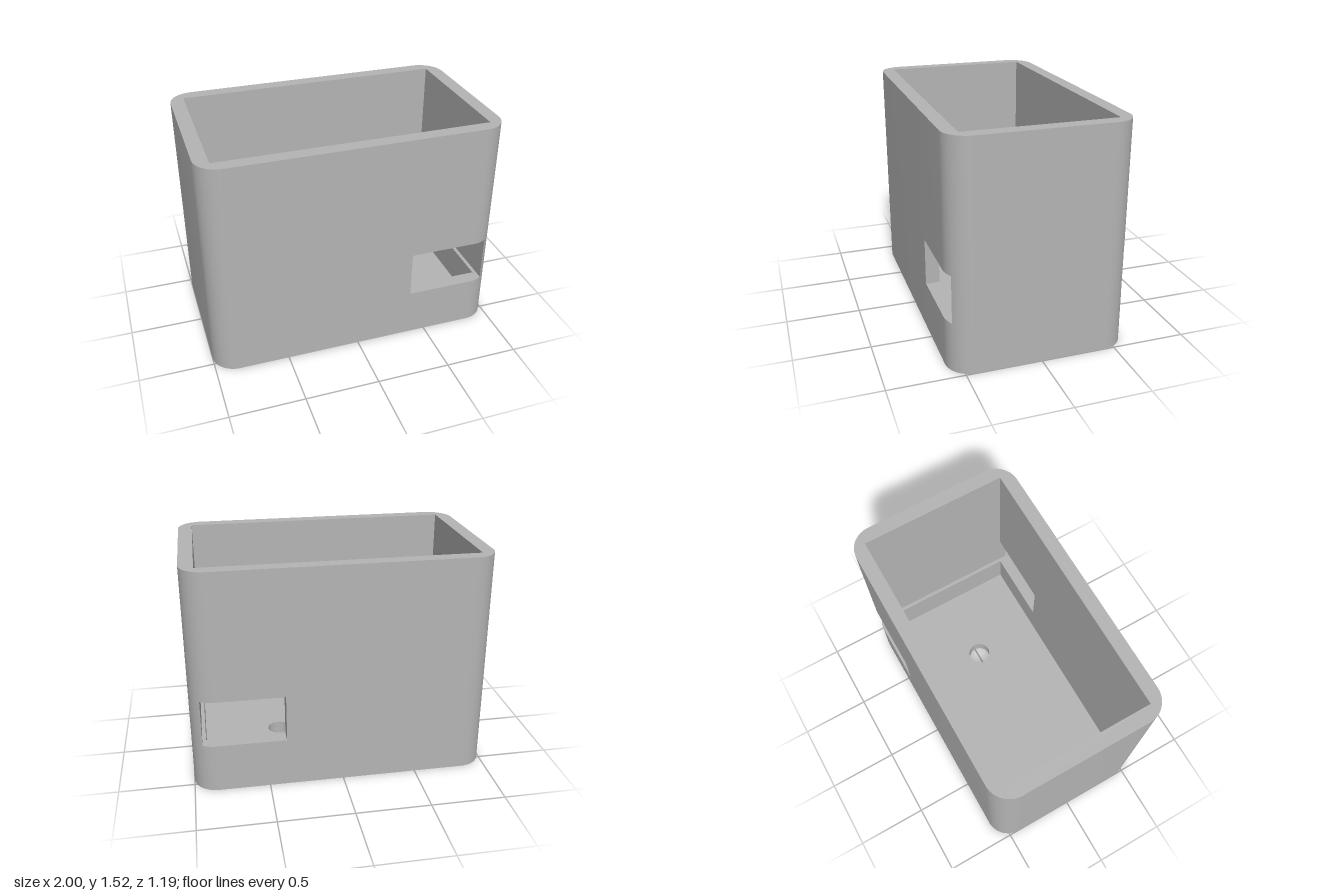
import * as THREE from 'three';
import { toCreasedNormals } from 'three/addons/utils/BufferGeometryUtils.js';

const W = 1, D = 0.593, H = 1.52, R = 0.16;        // outer half width, half depth, height, corner radius
const IW = 0.905, ID = 0.5, FLOOR = 0.095;         // cavity half width, half depth, floor level
const X0 = 0.38, X1 = 0.93, Y0 = 0.335, Y1 = 0.655; // slot cut right through from front to back

const P = (x, z) => new THREE.Vector2(x, z);

// Points of an arc in plan, angle running from +x towards +z
function arc(cx, cz, r, a, b, n) {
  return Array.from({ length: n + 1 }, (_, i) => {
    const t = a + (b - a) * i / n;
    return P(cx + r * Math.cos(t), cz + r * Math.sin(t));
  });
}

// Vertical faces along a closed plan outline
function addWall(out, path, y0, y1) {
  path.forEach((a, i) => {
    const b = path[(i + 1) % path.length];
    out.push(a.x, y0, a.y, a.x, y1, a.y, b.x, y1, b.y);
    out.push(a.x, y0, a.y, b.x, y1, b.y, b.x, y0, b.y);
  });
}

// Horizontal face inside a plan outline, facing up or down
function addCap(out, outline, holes, y, up) {
  const pts = [outline, ...holes].flat();
  for (const [i, j, k] of THREE.ShapeUtils.triangulateShape(outline, holes)) {
    const a = pts[i], b = pts[j], c = pts[k];
    const facesDown = (b.x - a.x) * (c.y - a.y) - (b.y - a.y) * (c.x - a.x) > 0;
    const tri = facesDown === up ? [a, c, b] : [a, b, c];
    for (const p of tri) out.push(p.x, y, p.y);
  }
}

export function createModel() {
  const plastic = new THREE.MeshStandardMaterial({ color: 0xb4b4b4 });
  plastic.name = 'grey plastic';

  // Outer outline, split where the slot meets it
  const cx = W - R, cz = D - R, q = Math.PI / 2;
  const cut = Math.acos((X1 - cx) / R);
  const right = [...arc(cx, -cz, R, -cut, 0, 8), ...arc(cx, cz, R, 0, cut, 8)];
  const frontSlot = [...arc(cx, cz, R, cut, q, 5), P(X0, D)];
  const left = [P(X0, D), ...arc(-cx, cz, R, q, 2 * q, 13),
    ...arc(-cx, -cz, R, 2 * q, 3 * q, 13), P(X0, -D)];
  const backSlot = [P(X0, -D), ...arc(cx, -cz, R, -q, -cut, 5)];
  const outer = [...right, ...frontSlot.slice(1), ...left.slice(1), ...backSlot.slice(1, -1)];

  // Cavity outline, wound so its walls face inwards, and the drain hole
  const inner = [P(IW, ID), P(IW, -ID), P(X0, -ID), P(-IW, -ID), P(-IW, ID), P(X0, ID)];
  const hole = arc(0.372, 0, 0.08, 0, -4 * q, 48).slice(0, -1);

  const v = [];

  // Floor with round hole
  addCap(v, outer, [hole], 0, false);
  addCap(v, inner, [hole], FLOOR, true);
  addWall(v, hole, 0, FLOOR);

  // Walls below and above the slot
  addWall(v, outer, 0, Y0);
  addWall(v, inner, FLOOR, Y0);
  addWall(v, outer, Y1, H);
  addWall(v, inner, Y1, H);

  // Walls beside the slot
  addWall(v, [...left, P(X0, -ID), P(-IW, -ID), P(-IW, ID), P(X0, ID)], Y0, Y1);
  addWall(v, right, Y0, Y1);

  // Sill and lintel of the slot, joined by the shallow groove in the side wall
  const ledge = [...frontSlot, P(X0, ID), P(IW, ID), P(IW, -ID), P(X0, -ID), ...backSlot];
  addCap(v, ledge, [], Y0, true);
  addCap(v, ledge, [], Y1, false);

  // Top rim
  addCap(v, outer, [inner], H, true);

  let geometry = new THREE.BufferGeometry();
  geometry.setAttribute('position', new THREE.Float32BufferAttribute(v, 3));
  geometry.computeVertexNormals();
  geometry = toCreasedNormals(geometry, 0.5);

  const body = new THREE.Mesh(geometry, plastic);
  body.name = 'openBox';
  const group = new THREE.Group();
  group.name = 'enclosure';
  group.add(body);
  return group;
}
